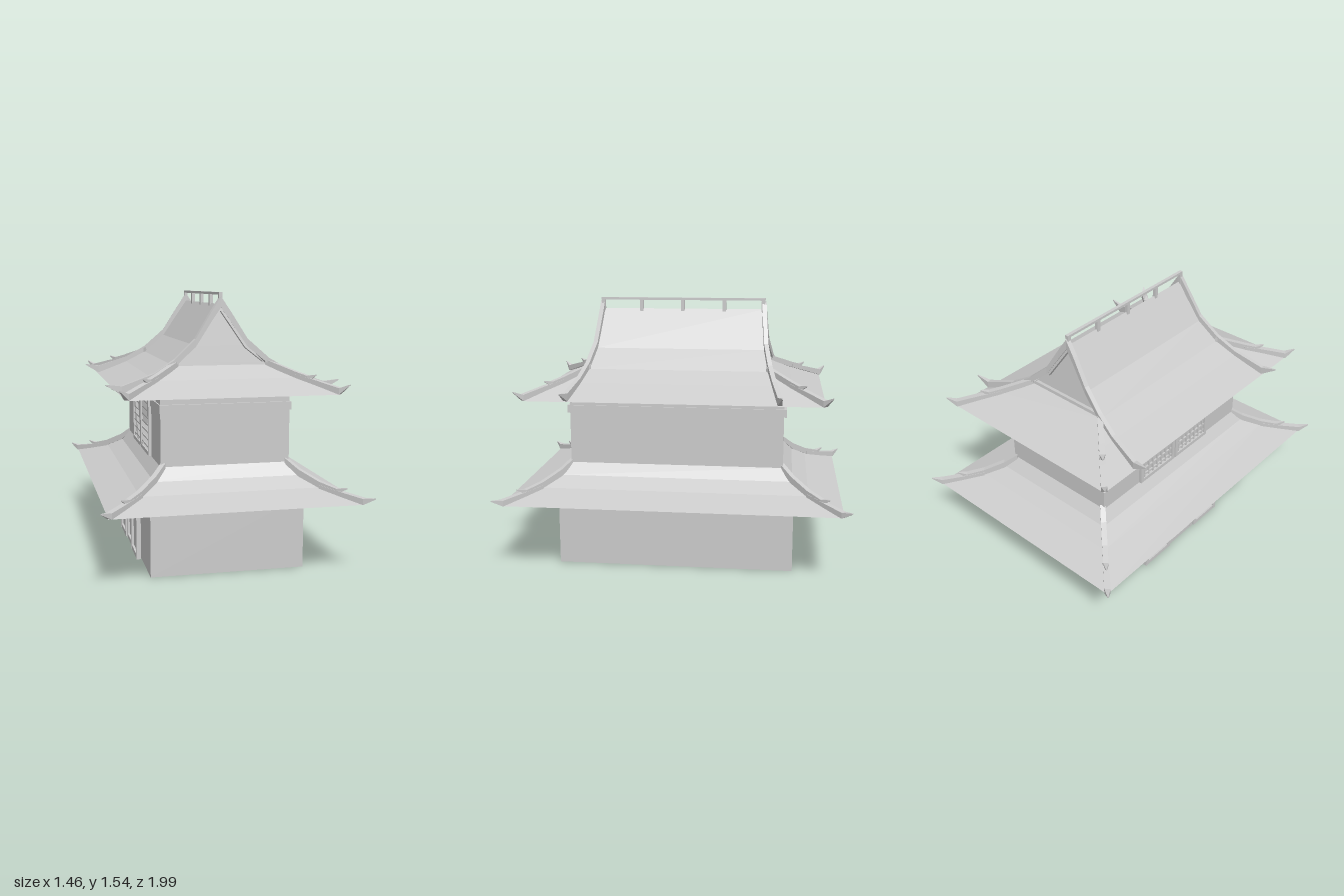
import * as THREE from 'three';

const grey = new THREE.MeshStandardMaterial({ color: 0xcccccc, flatShading: true, side: THREE.DoubleSide });

function add(parent, name, geometry) {
  const mesh = new THREE.Mesh(geometry, grey);
  mesh.name = name;
  parent.add(mesh);
  return mesh;
}

function box(parent, name, w, h, d, x, y, z) {
  add(parent, name, new THREE.BoxGeometry(w, h, d)).position.set(x, y, z);
}

// Flat faces from a list of four-cornered quads
function quads(list) {
  const pos = [];
  for (const [a, b, c, d] of list) pos.push(...a, ...b, ...c, ...a, ...c, ...d);
  const g = new THREE.BufferGeometry();
  g.setAttribute('position', new THREE.Float32BufferAttribute(pos, 3));
  g.computeVertexNormals();
  return g;
}

// Four-sided loft through rectangles [halfX, y, halfZ], from bottom to top
function rings(profile) {
  const corners = ([x, y, z]) => [[x, y, z], [x, y, -z], [-x, y, -z], [-x, y, z]];
  const list = [];
  for (let i = 0; i + 1 < profile.length; i++) {
    const a = corners(profile[i]), b = corners(profile[i + 1]);
    for (let k = 0; k < 4; k++) {
      const n = (k + 1) % 4;
      list.push([a[k], a[n], b[n], b[k]]);
    }
  }
  return quads(list);
}

// Square-section ridge along points [x, y, z, height, width]
function ridge(path, sx, sz) {
  const first = path[0], last = path[path.length - 1];
  const dx = last[0] - first[0], dz = last[2] - first[2], len = Math.hypot(dx, dz);
  const section = ([x, y, z, h, w]) => {
    const ox = (-dz / len) * w / 2, oz = (dx / len) * w / 2;
    return [[x - ox, y, z - oz], [x + ox, y, z + oz], [x + ox, y + h, z + oz], [x - ox, y + h, z - oz]]
      .map(p => [p[0] * sx, p[1], p[2] * sz]);
  };
  const s = path.map(section);
  const list = [s[0], [...s[s.length - 1]].reverse()];
  for (let i = 0; i + 1 < s.length; i++) {
    for (let k = 0; k < 4; k++) {
      const n = (k + 1) % 4;
      list.push([s[i][k], s[i + 1][k], s[i + 1][n], s[i][n]]);
    }
  }
  return quads(list);
}

// Hip ridge points from [x, y, height, width]; hips run at 45 degrees
const hip = pts => pts.map(([x, y, h, w]) => [x, y, x + 0.265, h, w]);

const lowerHips = [
  hip([[0.35, 0.59, 0.03, 0.03], [0.41, 0.525, 0.04, 0.03], [0.5, 0.475, 0.035, 0.03], [0.575, 0.455, 0.028, 0.03], [0.615, 0.485, 0.006, 0.005]]),
  hip([[0.5, 0.472, 0.02, 0.034], [0.6, 0.44, 0.027, 0.034], [0.685, 0.415, 0.033, 0.034], [0.73, 0.45, 0.006, 0.005]]),
];
const upperHips = [
  hip([[0.257, 1.135, 0.033, 0.03], [0.39, 1.075, 0.034, 0.03], [0.44, 1.06, 0.03, 0.03], [0.475, 1.092, 0.006, 0.005]]),
  hip([[0.39, 1.075, 0.02, 0.034], [0.48, 1.04, 0.028, 0.034], [0.575, 1.0, 0.035, 0.034], [0.615, 1.05, 0.006, 0.005]]),
];
const gableRidge = [
  [0, 1.46, 0.488, 0.06, 0.026], [0.06, 1.375, 0.494, 0.055, 0.026], [0.15, 1.24, 0.507, 0.045, 0.026],
  [0.27, 1.14, 0.533, 0.036, 0.026], [0.39, 1.075, 0.56, 0.03, 0.026], [0.57, 1.0, 0.595, 0.045, 0.026],
  [0.655, 1.05, 0.607, 0.006, 0.005],
];

// Curved triangle outline of the gable
function gableOutline(Type, w, mw, y0, my, top) {
  const p = new Type();
  p.moveTo(-w, y0);
  p.lineTo(w, y0);
  p.lineTo(mw, my);
  p.lineTo(0, top);
  p.lineTo(-mw, my);
  p.closePath();
  return p;
}

function doors(root) {
  const g = new THREE.Group();
  g.name = 'doors';
  for (const i of [-1, 0, 1]) {
    const z = i * 0.24, x = i ? -0.452 : -0.444, h = 0.41, w = 0.235;
    box(g, 'doorPanel', 0.012, h, w, x + 0.007, h / 2, z);
    for (const s of [-1, 1]) {
      box(g, 'doorStile', 0.026, h, 0.025, x, h / 2, z + s * (w / 2 - 0.0125));
      box(g, 'doorRail', 0.024, 0.025, w - 0.05, x, s < 0 ? 0.0125 : h - 0.0125, z);
    }
  }
  root.add(g);
}

function windows(root) {
  const g = new THREE.Group();
  g.name = 'latticeWindows';
  const w = 0.31, h = 0.34, y = 0.77, x = -0.373;
  for (const s of [-1, 1]) {
    const z = s * 0.16;
    for (const k of [-1, 1]) {
      box(g, 'windowStile', 0.018, h, 0.022, x, y, z + k * (w / 2 - 0.011));
      box(g, 'windowRail', 0.018, 0.022, w, x, y + k * (h / 2 - 0.011), z);
    }
    for (let i = 1; i < 8; i++) {
      box(g, 'latticeUpright', 0.01, h - 0.04, 0.009, x + 0.002, y, z - w / 2 + i * w / 8);
      box(g, 'latticeBar', 0.01, 0.009, w - 0.04, x + 0.002, y - h / 2 + i * h / 8, z);
    }
  }
  root.add(g);
}

export function createModel() {
  const root = new THREE.Group();
  root.name = 'tieredHall';

  // Hollow storeys
  add(root, 'lowerWalls', rings([[0.435, 0, 0.685], [0.435, 0.415, 0.685]]));
  add(root, 'upperWalls', rings([[0.365, 0.595, 0.62], [0.365, 0.988, 0.62]]));
  add(root, 'wallBelt', rings([[0.365, 0.895, 0.62], [0.372, 0.895, 0.635], [0.372, 0.94, 0.635], [0.365, 0.94, 0.62]]));
  doors(root);
  windows(root);

  // Lower skirt roof
  add(root, 'lowerSoffit', rings([[0.435, 0.415, 0.685], [0.69, 0.415, 0.957]]));
  add(root, 'lowerRoof', rings([[0.69, 0.415, 0.957], [0.5, 0.475, 0.765], [0.41, 0.53, 0.675], [0.365, 0.598, 0.62]]));

  // Upper hip-and-gable roof
  add(root, 'upperSoffit', rings([[0.365, 0.986, 0.62], [0.58, 0.998, 0.845]]));
  add(root, 'upperRoofSkirt', rings([[0.58, 0.998, 0.845], [0.39, 1.075, 0.655], [0.27, 1.14, 0.53]]));
  const slope = [[0.27, 1.14, 0.53], [0.15, 1.25, 0.505], [0, 1.475, 0.485]];
  const faces = [];
  for (const s of [-1, 1]) {
    for (let i = 0; i < 2; i++) {
      const [a, b] = [slope[i], slope[i + 1]];
      const q = [[s * a[0], a[1], a[2]], [s * a[0], a[1], -a[2]], [s * b[0], b[1], -b[2]], [s * b[0], b[1], b[2]]];
      faces.push(s > 0 ? q : q.reverse());
    }
  }
  add(root, 'upperRoofSlopes', quads(faces));

  // Leaning gables: a recessed wall behind a raised frame
  for (const side of [0, 1]) {
    const turn = new THREE.Group();
    turn.name = 'gable';
    turn.rotation.y = side * Math.PI;
    const lean = new THREE.Group();
    lean.position.set(0, 1.135, 0.515);
    lean.rotation.x = -0.134;
    const outer = gableOutline(THREE.Shape, 0.26, 0.148, 0, 0.112, 0.335);
    add(lean, 'gableWall', new THREE.ShapeGeometry(outer)).position.z = -0.012;
    const frame = outer.clone();
    frame.holes.push(gableOutline(THREE.Path, 0.235, 0.137, 0.02, 0.098, 0.305));
    add(lean, 'gableFrame', new THREE.ExtrudeGeometry(frame, { depth: 0.022, bevelEnabled: false })).position.z = -0.008;
    turn.add(lean);
    root.add(turn);
  }

  // Ridges with upturned tips, mirrored to all four corners
  for (const sx of [-1, 1]) {
    for (const sz of [-1, 1]) {
      for (const p of lowerHips) add(root, 'lowerHipRidge', ridge(p, sx, sz));
      for (const p of upperHips) add(root, 'upperHipRidge', ridge(p, sx, sz));
      add(root, 'gableRidge', ridge(gableRidge, sx, sz));
    }
  }

  // Open railing along the crest
  box(root, 'crestRail', 0.02, 0.014, 0.99, 0, 1.533, 0);
  for (const z of [-0.483, -0.25, 0, 0.25, 0.483]) box(root, 'crestPost', 0.02, 0.07, 0.022, 0, 1.495, z);

  return root;
}
